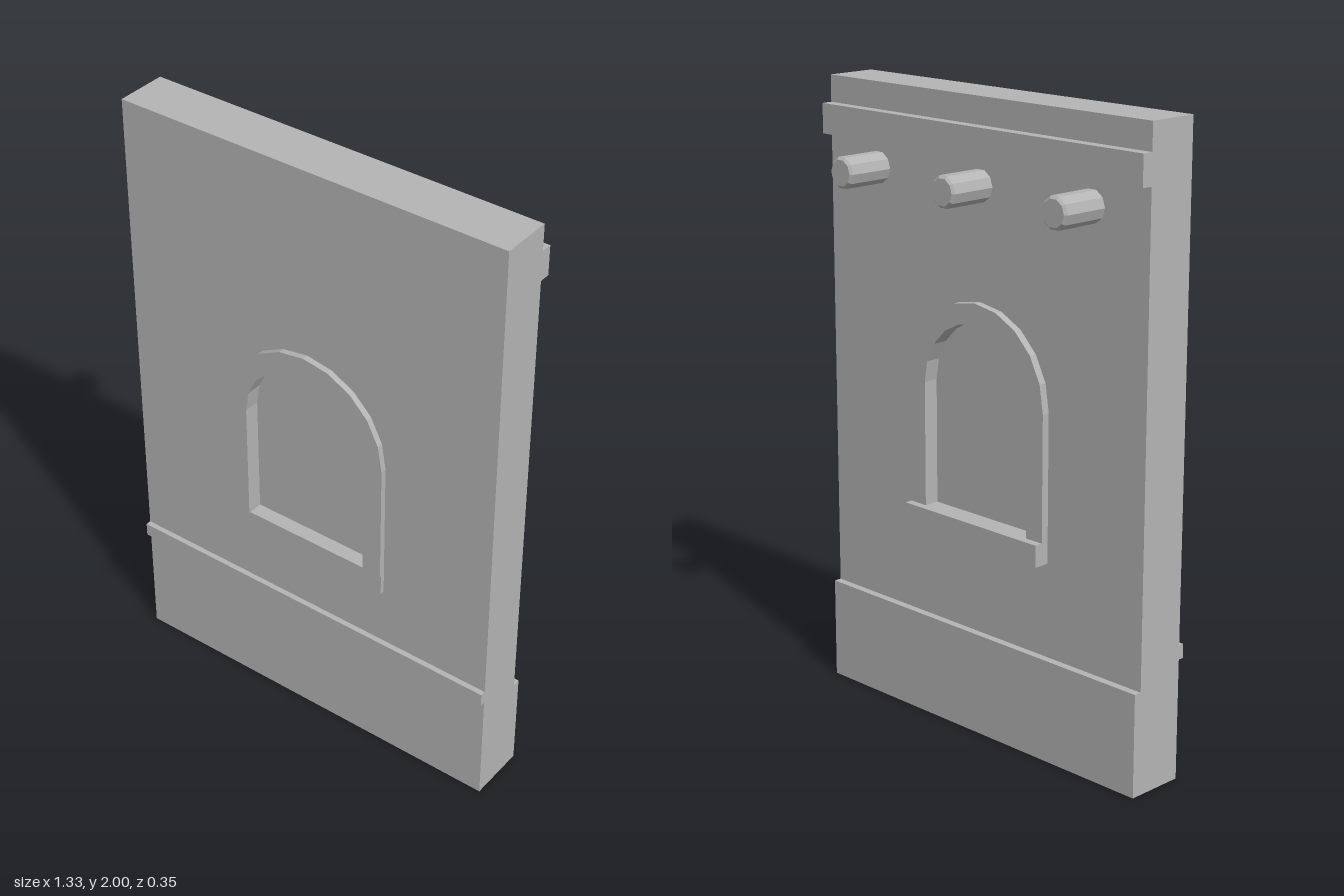
import * as THREE from 'three';

const SPRING = 1.1;            // height where the arch starts
const FRONT = 0.153, BACK = -0.015; // wall faces
const HALF = 0.665;            // half the wall width
const SEGMENTS = 10;

// Outline of an arched opening, anticlockwise from the bottom left
function archPoints(radius, bottom) {
  const points = [new THREE.Vector2(-radius, bottom), new THREE.Vector2(radius, bottom)];
  for (let i = 0; i <= SEGMENTS; i++) {
    const a = (i / SEGMENTS) * Math.PI;
    points.push(new THREE.Vector2(radius * Math.cos(a), SPRING + radius * Math.sin(a)));
  }
  return points;
}

function extrude(shape, z0, z1) {
  return new THREE.ExtrudeGeometry(shape, { depth: z1 - z0, bevelEnabled: false }).translate(0, 0, z0);
}

function block(halfWidth, y0, y1, z0, z1) {
  return new THREE.BoxGeometry(halfWidth * 2, y1 - y0, z1 - z0).translate(0, (y0 + y1) / 2, (z0 + z1) / 2);
}

export function createModel() {
  const group = new THREE.Group();
  const stone = new THREE.MeshStandardMaterial({ color: 0xb4b4b4, flatShading: true });
  stone.name = 'grey stone';
  const add = (name, geometry) => {
    const mesh = new THREE.Mesh(geometry, stone);
    mesh.name = name;
    group.add(mesh);
    return mesh;
  };

  // Wall slab with the arched opening
  const wall = new THREE.Shape([[-HALF, 0], [HALF, 0], [HALF, 2], [-HALF, 2]].map(p => new THREE.Vector2(...p)));
  wall.holes.push(new THREE.Path(archPoints(0.22, 0.7)));
  add('wall', extrude(wall, BACK, FRONT));

  // Recessed panel filling the opening
  add('windowPanel', extrude(new THREE.Shape(archPoints(0.22, 0.7)), 0.01, 0.12));

  // Raised arch surrounds, open at the bottom where they meet the sills
  const outer = archPoints(0.285, 0.7).slice(1);
  const inner = archPoints(0.22, 0.7).slice(2).reverse();
  const surround = new THREE.Shape([
    ...outer, new THREE.Vector2(-0.285, 0.7), new THREE.Vector2(-0.22, 0.7),
    ...inner, new THREE.Vector2(0.22, 0.7),
  ]);
  add('frontSurround', extrude(surround, FRONT, 0.173));
  add('backSurround', extrude(surround, -0.04, BACK));

  // Window sills
  add('frontSill', block(0.285, 0.63, 0.7, FRONT, 0.168));
  add('backSill', block(0.285, 0.63, 0.7, -0.066, BACK));

  // Horizontal mouldings and the thicker foot of the back
  add('frontMoulding', block(HALF, 0.385, 0.43, FRONT, 0.171));
  add('backCornice', block(HALF, 1.82, 1.915, -0.051, BACK));
  add('backPlinth', block(HALF, 0, 0.33, -0.04, BACK));

  // Chamfered beam ends along the back
  const profile = [[0, -0.01], [0.05, -0.01], [0.05, 0.15], [0.042, 0.158], [0, 0.158]]
    .map(p => new THREE.Vector2(...p));
  for (const x of [-0.445, 0, 0.445]) {
    const beam = add('beamEnd', new THREE.LatheGeometry(profile, 10, Math.PI / 2).rotateX(-Math.PI / 2));
    beam.position.set(x, 1.737, BACK);
  }
  return group;
}
